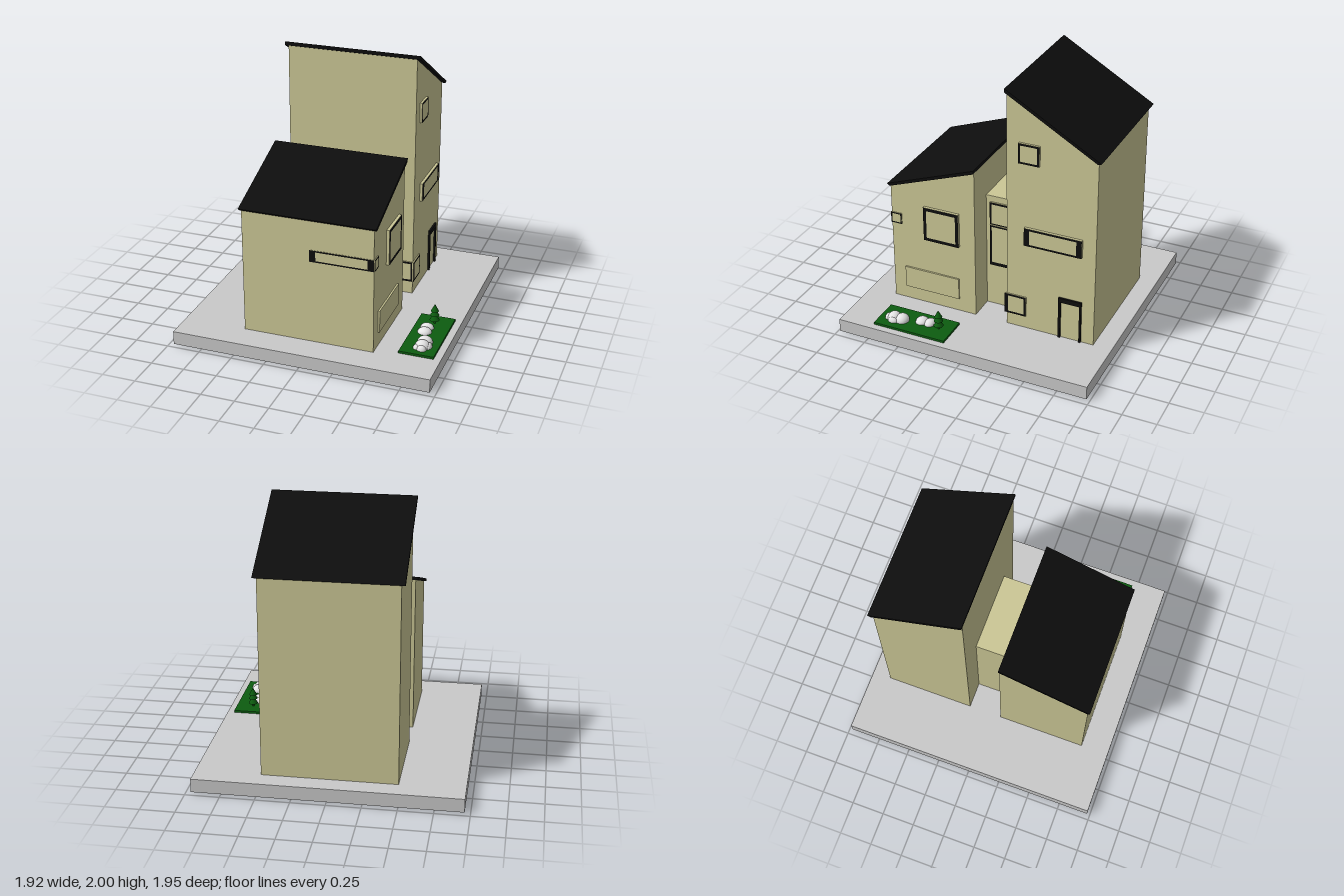
import * as THREE from 'three';

const mat = (name, color) => {
  const m = new THREE.MeshStandardMaterial({ color });
  m.name = name;
  return m;
};

export function createModel() {
  const model = new THREE.Group();
  model.name = 'house';
  const wall = mat('sand wall', 0xcbc795);
  const black = mat('black trim', 0x0d0d0d);
  const grey = mat('grey slab', 0xc9c9c9);
  const green = mat('garden green', 0x0d5c10);
  const white = mat('pale stone', 0xe4e4e4);

  const add = (name, geo, material, parent = model) => {
    const m = new THREE.Mesh(geo, material);
    m.name = name;
    parent.add(m);
    return m;
  };
  // box given by its lower and upper corners
  const box = (name, [x0, y0, z0], [x1, y1, z1], material) =>
    add(name, new THREE.BoxGeometry(x1 - x0, y1 - y0, z1 - z0), material)
      .position.set((x0 + x1) / 2, (y0 + y1) / 2, (z0 + z1) / 2);
  // (z, y) outline swept along x
  const sweep = (name, pts, x0, x1, material) => {
    const shape = new THREE.Shape(pts.map(p => new THREE.Vector2(...p)));
    const geo = new THREE.ExtrudeGeometry(shape, { depth: x1 - x0, bevelEnabled: false });
    geo.rotateY(-Math.PI / 2).translate(x1, 0, 0);
    return add(name, geo, material);
  };

  // ground slab and building volumes
  box('groundSlab', [-0.96, 0.013, -0.977], [0.96, 0.114, 0.977], grey);
  sweep('frontHouse', [[0.765, 0.114], [0.765, 1.057], [0.093, 1.3], [0.093, 0.114]], -0.49, 0.485, wall);
  sweep('tower', [[-0.16, 0.114], [-0.16, 1.975], [-0.835, 1.582], [-0.835, 0.114]], -0.49, 0.485, wall);
  box('connector', [-0.295, 0.114, -0.16], [0.29, 1.028, 0.093], wall);

  // sloping roofs
  sweep('frontRoof', [[0.783, 1.07], [0.765, 1.053], [0.09, 1.296], [0.09, 1.321]], -0.507, 0.504, black);
  sweep('towerRoof', [[-0.155, 2], [-0.155, 1.972], [-0.835, 1.578], [-0.862, 1.586]], -0.517, 0.511, black);

  // window: wall-coloured box with a black border on its face
  // bars = border widths [left, right, bottom, top]; u runs along the wall
  const rect = (Type, x0, y0, x1, y1) => {
    const s = new Type();
    s.moveTo(x0, y0).lineTo(x1, y0).lineTo(x1, y1).lineTo(x0, y1).closePath();
    return s;
  };
  const opening = (name, w, h, bars, depth) => {
    const g = new THREE.Group();
    g.name = name;
    add('pane', new THREE.BoxGeometry(w, h, depth), wall, g).position.z = depth / 2;
    const [l, r, b, t] = bars;
    const border = rect(THREE.Shape, -w / 2, -h / 2, w / 2, h / 2);
    border.holes.push(rect(THREE.Path, -w / 2 + l, -h / 2 + b, w / 2 - r, h / 2 - t));
    add('border', new THREE.ShapeGeometry(border), black, g).position.z = depth + 0.002;
    model.add(g);
    return g;
  };
  const sideWindow = (name, x, zFront, zBack, y0, y1, bars, depth) => {
    const g = opening(name, zFront - zBack, y1 - y0, bars, depth);
    g.position.set(x, (y0 + y1) / 2, (zFront + zBack) / 2);
    g.rotation.y = Math.PI / 2;
  };
  const frontWindow = (name, z, x0, x1, y0, y1, bars, depth) => {
    opening(name, x1 - x0, y1 - y0, bars, depth).position.set((x0 + x1) / 2, (y0 + y1) / 2, z);
  };
  const even = t => [t, t, t, t];
  sideWindow('squareWindow', 0.485, 0.495, 0.215, 0.668, 0.938, even(0.024), 0.021);
  sideWindow('towerTopWindow', 0.485, -0.255, -0.41, 1.46, 1.613, even(0.015), 0.016);
  sideWindow('towerMiddleWindow', 0.485, -0.3, -0.735, 0.82, 0.96, [0.04, 0.04, 0.015, 0.015], 0.02);
  sideWindow('connectorUpperWindow', 0.29, 0.06, -0.115, 0.8, 0.98, [0.015, 0.018, 0.008, 0.015], 0.012);
  sideWindow('connectorLowerWindow', 0.29, 0.06, -0.117, 0.456, 0.79, [0.015, 0.018, 0.026, 0.012], 0.012);
  sideWindow('towerCornerSide', 0.485, -0.145, -0.312, 0.215, 0.376, [0.026, 0.015, 0.015, 0.015], 0.009);
  frontWindow('towerCornerFront', -0.16, 0.33, 0.487, 0.215, 0.376, even(0.015), 0.008);
  frontWindow('frontStripWindow', 0.765, 0.015, 0.486, 0.745, 0.834, [0.045, 0.045, 0.011, 0.011], 0.003);
  sideWindow('frontStripReturn', 0.485, 0.769, 0.683, 0.747, 0.833, even(0.01), 0.006);

  // plain raised panel low on the side wall
  box('lowPanel', [0.48, 0.22, 0.225], [0.498, 0.39, 0.665], wall);

  // door frame
  box('doorLeftPost', [0.48, 0.114, -0.582], [0.5, 0.45, -0.565], black);
  box('doorRightPost', [0.48, 0.114, -0.74], [0.5, 0.45, -0.726], black);
  box('doorLintel', [0.48, 0.415, -0.74], [0.5, 0.45, -0.565], black);

  // garden bed and tree
  box('gardenBed', [0.652, 0.114, 0.145], [0.908, 0.131, 0.715], green);
  const tree = new THREE.Group();
  tree.name = 'tree';
  tree.position.set(0.78, 0.13, 0.25);
  model.add(tree);
  add('trunk', new THREE.CylinderGeometry(0.008, 0.008, 0.06, 12), green, tree).position.y = 0.03;
  [[0.036, 0.028], [0.033, 0.067], [0.029, 0.1]].forEach(([r, y]) =>
    add('foliage', new THREE.ConeGeometry(r, 0.056, 24), green, tree).position.y = y + 0.028);

  // rounded stones: x, y, z, radii
  [
    [0.75, 0.13, 0.335, 0.05, 0.038, 0.04],
    [0.75, 0.13, 0.4, 0.052, 0.036, 0.048],
    [0.795, 0.135, 0.54, 0.055, 0.047, 0.052],
    [0.795, 0.135, 0.605, 0.055, 0.049, 0.05],
    [0.838, 0.13, 0.595, 0.024, 0.035, 0.038],
    [0.8, 0.13, 0.645, 0.035, 0.035, 0.03],
    [0.762, 0.13, 0.63, 0.028, 0.03, 0.03],
    [0.72, 0.04, 0.455, 0.045, 0.04, 0.045],
  ].forEach(([x, y, z, rx, ry, rz]) => {
    const s = add('stone', new THREE.SphereGeometry(1, 24, 16), white);
    s.position.set(x, y, z);
    s.scale.set(rx, ry, rz);
  });
  return model;
}
